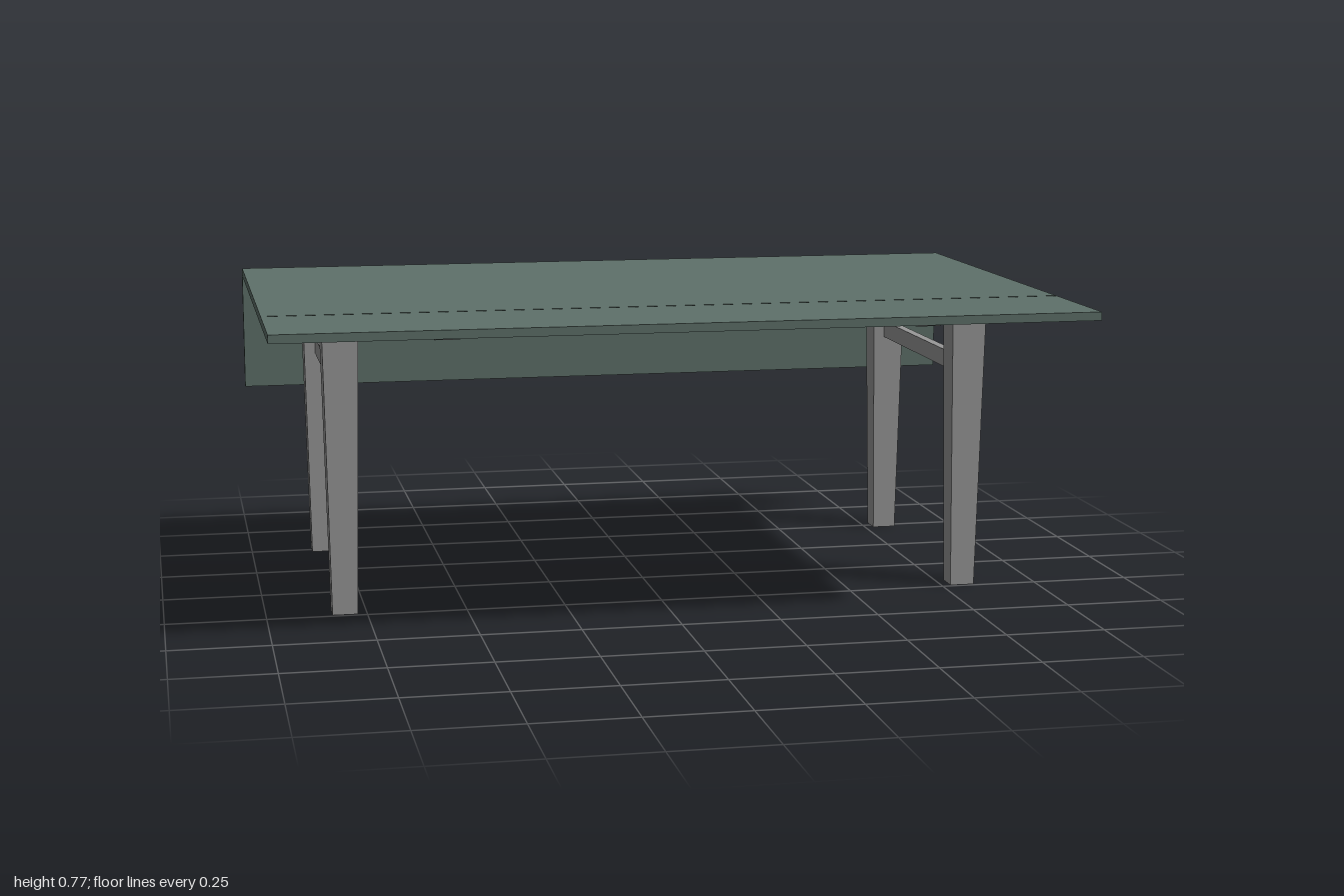
import * as THREE from 'three';

export function createModel() {
  const table = new THREE.Group();
  table.name = 'dropLeafTable';
  const green = new THREE.MeshStandardMaterial({ color: 0x5f716a });
  green.name = 'grey green board';
  const grey = new THREE.MeshStandardMaterial({ color: 0x999999 });
  grey.name = 'plain grey';

  const add = (name, geometry, material) => {
    const mesh = new THREE.Mesh(geometry, material);
    mesh.name = name;
    table.add(mesh);
    return mesh;
  };
  // Box given by its lower and upper limits on each axis
  const box = (name, material, [x0, x1], [y0, y1], [z0, z1]) =>
    add(name, new THREE.BoxGeometry(x1 - x0, y1 - y0, z1 - z0), material)
      .position.set((x0 + x1) / 2, (y0 + y1) / 2, (z0 + z1) / 2);

  // Fixed top, raised front leaf and hanging back leaf
  box('mainTop', green, [-1, 1], [0.75, 0.771], [-0.645, 0.35]);
  box('frontLeaf', green, [-1, 1], [0.75, 0.771], [0.355, 0.667]);
  box('backLeaf', green, [-1, 1], [0.44, 0.75], [-0.667, -0.648]);

  // Tapered legs
  const frontZ = 0.212, backZ = -0.502, legX = 0.805;
  const legGeometry = new THREE.BoxGeometry(0.09, 0.75, 0.083).translate(0, 0.375, 0);
  const p = legGeometry.attributes.position;
  for (let i = 0; i < p.count; i++) {
    if (p.getY(i) < 0.1) {
      p.setX(i, p.getX(i) * 0.7);
      p.setZ(i, p.getZ(i) * 0.7);
    }
  }
  legGeometry.computeVertexNormals();
  for (const side of [-1, 1]) {
    for (const [name, z] of [['frontLeg', frontZ], ['backLeg', backZ]]) {
      add(name, legGeometry, grey).position.set(side * legX, 0, z);
    }
  }

  // Apron frame with inner rails
  for (const [name, z] of [['frontApron', frontZ], ['centreRail', -0.147], ['backApron', backZ]]) {
    box(name, green, [-0.78, 0.78], [0.7, 0.75], [z - 0.011, z + 0.011]);
  }
  box('crossRail', green, [-0.011, 0.011], [0.7, 0.75], [backZ, frontZ]);
  for (const side of [-1, 1]) {
    const x = side * legX;
    box('sideApron', green, [x - 0.011, x + 0.011], [0.7, 0.75], [backZ, frontZ]);
    box('sideStretcher', grey, [x - 0.012, x + 0.012], [0.555, 0.6], [backZ, frontZ]);
  }

  // Sliding leaf supports with a bevelled outer end
  const slide = (name, x, inner, outer) => {
    const bevel = Math.sign(outer - inner) * 0.04;
    const shape = new THREE.Shape([
      new THREE.Vector2(-inner, 0.717), new THREE.Vector2(-outer + bevel, 0.717),
      new THREE.Vector2(-outer, 0.749), new THREE.Vector2(-inner, 0.749),
    ]);
    const geometry = new THREE.ExtrudeGeometry(shape, { depth: 0.062, bevelEnabled: false });
    geometry.translate(0, 0, -0.031).rotateY(Math.PI / 2);
    add(name, geometry, grey).position.x = x;
  };
  for (const x of [-0.565, 0.63]) slide('frontSlide', x, -0.15, 0.495);
  for (const x of [-0.63, 0.565]) slide('backSlide', x, -0.15, -0.64);

  // Hinges: flat under the front joint, folded at the back joint
  for (const side of [-1, 1]) {
    const x = [side * 0.803 - 0.053, side * 0.803 + 0.053];
    box('frontHinge', grey, x, [0.745, 0.75], [0.315, 0.39]);
    box('backHingeTopPlate', grey, x, [0.746, 0.75], [-0.648, -0.61]);
    box('backHingeSidePlate', grey, x, [0.71, 0.75], [-0.648, -0.644]);
    box('backHingePin', grey, x, [0.75, 0.76], [-0.653, -0.645]);
  }
  return table;
}
